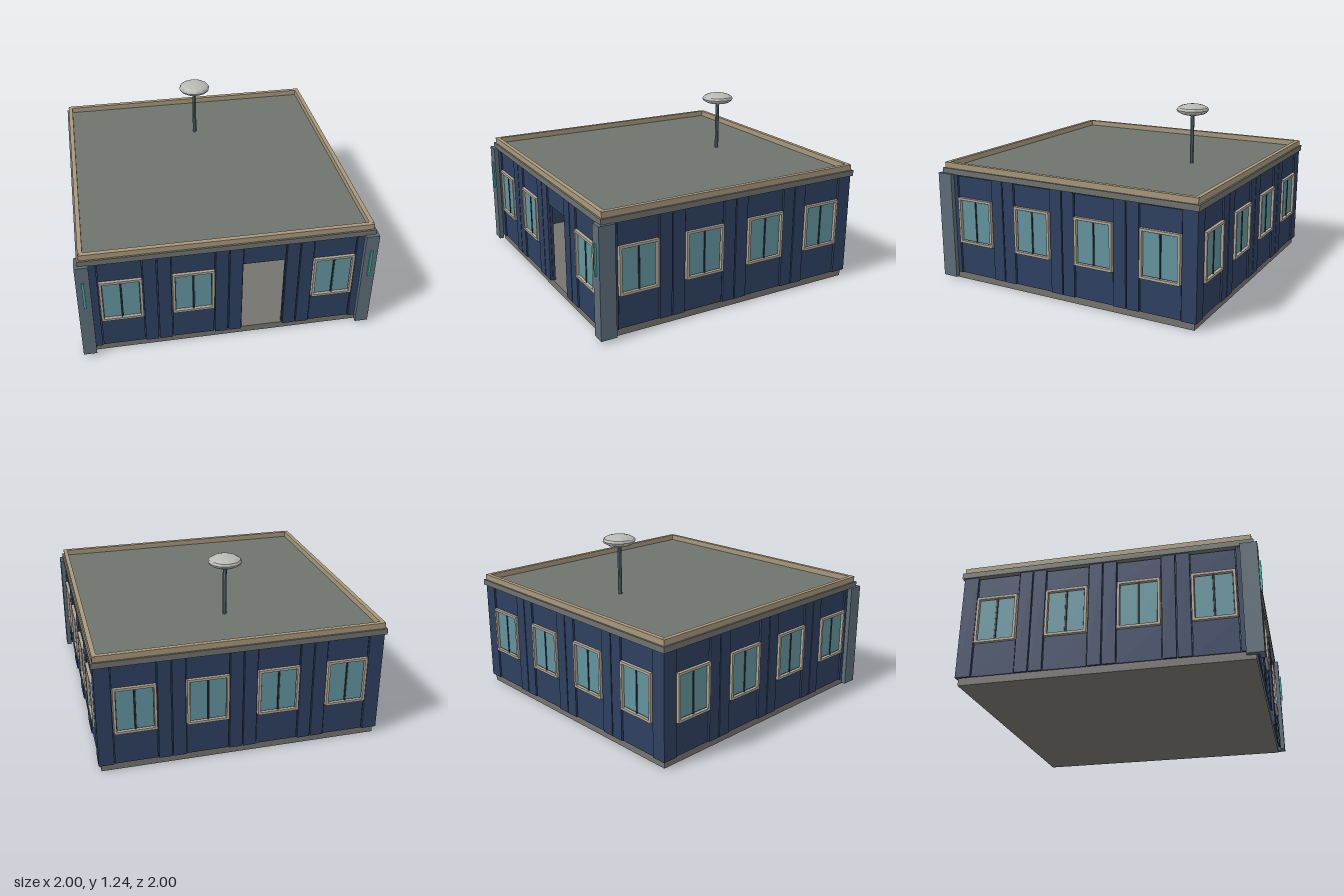
import * as THREE from 'three';

const mat = (color) => new THREE.MeshStandardMaterial({ color, flatShading: true });
const M = {
  wall: mat(0x2e4060), frame: mat(0xb0a695), dark: mat(0x2c3238), glass: mat(0x62949e),
  roof: mat(0x6e736e), parapet: mat(0xa8977a), post: mat(0x5d6d78), base: mat(0x75736d),
  light: mat(0x3fb0a8), dish: mat(0xb8b8b4),
};

// Box given by its minimum and maximum on each axis
function box(parent, name, m, x0, x1, y0, y1, z0, z1) {
  const mesh = new THREE.Mesh(new THREE.BoxGeometry(x1 - x0, y1 - y0, z1 - z0), m);
  mesh.position.set((x0 + x1) / 2, (y0 + y1) / 2, (z0 + z1) / 2);
  mesh.name = name;
  parent.add(mesh);
  return mesh;
}

const Y0 = 0.05, Y1 = 0.77, SILL = 0.28, HEAD = 0.61;
const MOD = 0.478, BAY = 0.142, IN = 0.93, FACE = 0.967;

// Two sliding panes in a raised frame, centred on x = 0
function createWindow() {
  const g = new THREE.Group();
  g.name = 'window';
  const w = 0.14, t = 0.017, z0 = IN - 0.006, z1 = 0.979;
  box(g, 'frameBottom', M.frame, -w, w, SILL, SILL + t, z0, z1);
  box(g, 'frameTop', M.frame, -w, w, HEAD - t, HEAD, z0, z1);
  for (const s of [-1, 1]) {
    const c = s * (w - t / 2);
    box(g, 'frameSide', M.frame, c - t / 2, c + t / 2, SILL + t, HEAD - t, z0, z1);
    const p = s * 0.0625;
    box(g, 'pane', M.glass, p - 0.055, p + 0.055, SILL + t + 0.006, HEAD - t - 0.006, 0.938, 0.964);
  }
  box(g, 'sash', M.dark, -w + t, w - t, SILL + t, HEAD - t, 0.942, 0.958);
  box(g, 'mullion', M.dark, -0.005, 0.005, SILL + t, HEAD - t, 0.936, 0.968);
  return g;
}

// One wall of four bays, facing +z; doorBay is left open
function createWall(name, doorBay) {
  const wall = new THREE.Group();
  wall.name = name;
  for (let i = 0; i < 4; i++) {
    const bay = new THREE.Group();
    bay.name = i === doorBay ? 'doorBay' : 'windowBay';
    bay.position.x = (i - 1.5) * MOD;
    for (const s of [-1, 1]) {
      // Raised pilaster beside the opening, with a groove at each joint
      const corner = (i === 0 && s < 0) || (i === 3 && s > 0);
      const end = corner ? FACE - 1.5 * MOD : MOD / 2 - 0.004;
      const [a, b] = s > 0 ? [BAY + 0.006, end] : [-end, -BAY - 0.006];
      box(bay, 'pilaster', M.wall, a, b, Y0, Y1, 0.945, FACE);
      const [c, d] = s > 0 ? [BAY, MOD / 2] : [-MOD / 2, -BAY];
      box(bay, 'wallCore', M.wall, c, d, Y0, Y1, IN, 0.95);
    }
    if (i === doorBay) {
      box(bay, 'lintel', M.wall, -BAY, BAY, 0.625, Y1 - 0.01, IN, 0.958);
    } else {
      box(bay, 'lowerPanel', M.wall, -BAY, BAY, Y0, SILL, IN, 0.958);
      box(bay, 'upperPanel', M.wall, -BAY, BAY, HEAD, Y1 - 0.01, IN, 0.958);
      bay.add(createWindow());
    }
    wall.add(bay);
  }
  return wall;
}

export function createModel() {
  const model = new THREE.Group();
  model.name = 'building';
  const body = new THREE.Group();
  body.name = 'body';
  body.position.z = -0.018;
  model.add(body);

  // Floor slab and four walls
  box(body, 'floorSlab', M.base, -0.95, 0.95, 0, Y0, -0.95, 0.95);
  ['frontWall', 'leftWall', 'backWall', 'rightWall'].forEach((name, k) => {
    const wall = createWall(name, k === 0 ? 2 : -1);
    wall.rotation.y = k * Math.PI / 2;
    body.add(wall);
  });

  // Roof slab with a raised parapet
  box(body, 'roofSlab', M.roof, -0.98, 0.98, Y1, 0.81, -0.98, 0.98);
  for (let k = 0; k < 4; k++) {
    const side = new THREE.Group();
    side.name = 'parapetSide';
    side.rotation.y = k * Math.PI / 2;
    box(side, 'parapet', M.parapet, -0.95, 0.95, 0.81, 0.85, 0.938, 0.968);
    box(side, 'parapetCorner', M.parapet, 0.945, 0.967, 0.81, 0.849, 0.945, 0.967);
    body.add(side);
  }

  // L-shaped front corner posts with light strips
  for (const s of [-1, 1]) {
    const shape = new THREE.Shape([
      [1, -0.985], [1, -0.875], [0.968, -0.875], [0.968, -0.953], [0.91, -0.953], [0.91, -0.985],
    ].map(([x, y]) => new THREE.Vector2(s * x, y)));
    const geo = new THREE.ExtrudeGeometry(shape, { depth: 0.755, bevelEnabled: false });
    geo.rotateX(-Math.PI / 2).translate(0, 0.02, 0);
    const post = new THREE.Mesh(geo, M.post);
    post.name = 'cornerPost';
    model.add(post);
    const c = s * 0.955;
    box(model, 'lightStrip', M.light, c - 0.008, c + 0.008, 0.445, 0.655, 0.98, 0.998);
  }

  // Roof mast carrying a flattened dish
  const mast = new THREE.Mesh(new THREE.CylinderGeometry(0.014, 0.014, 0.36, 8), M.post);
  mast.name = 'mast';
  mast.position.set(0, 0.99, -0.495);
  const dish = new THREE.Mesh(new THREE.SphereGeometry(0.115, 12, 8), M.dish);
  dish.name = 'dish';
  dish.scale.y = 0.36;
  dish.position.set(0, 1.194, -0.495);
  model.add(mast, dish);

  return model;
}
